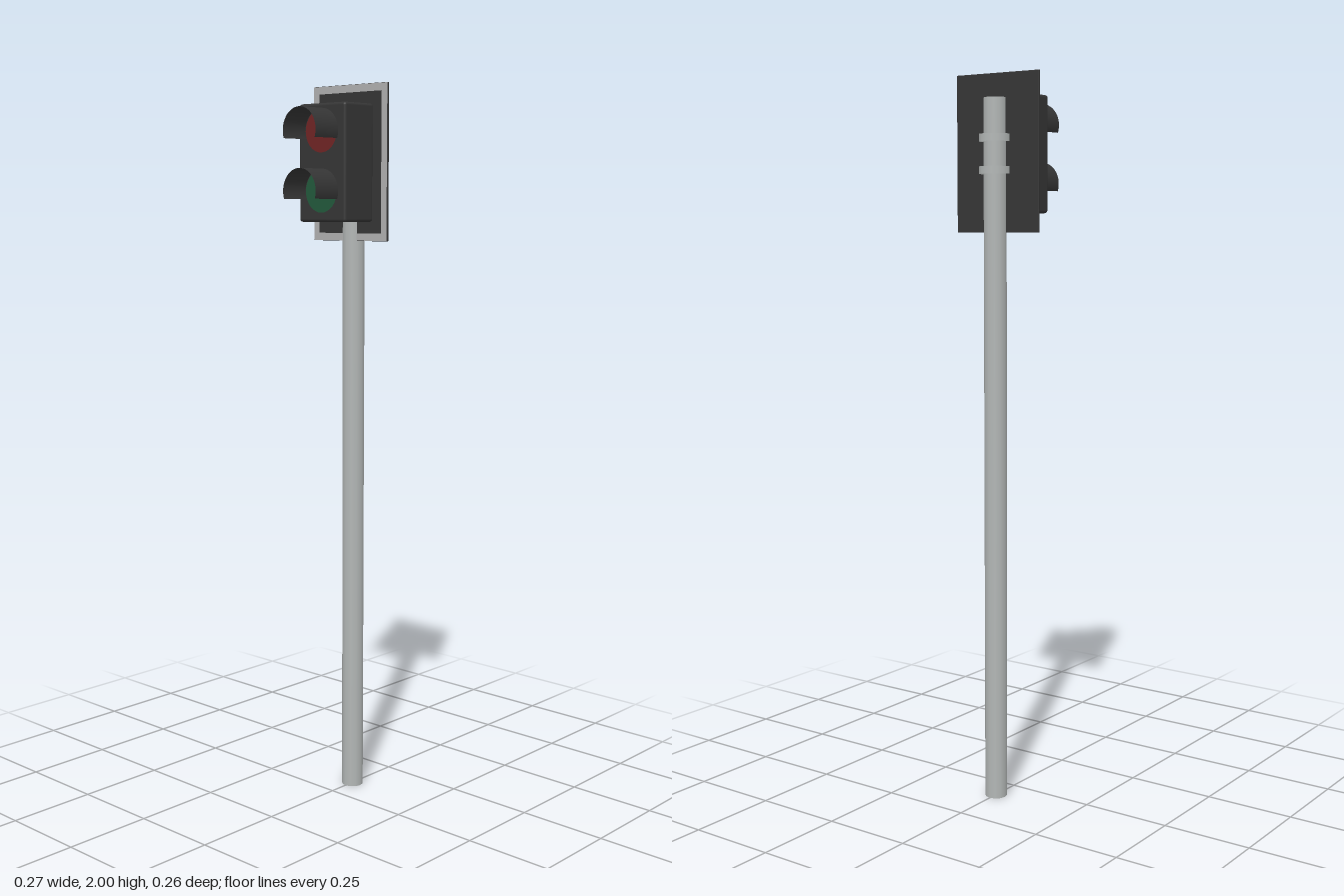
import * as THREE from 'three';
import { RoundedBoxGeometry } from 'three/addons/geometries/RoundedBoxGeometry.js';

const material = (name, color, side = THREE.FrontSide) => {
  const m = new THREE.MeshStandardMaterial({ color, side });
  m.name = name;
  return m;
};

export function createModel() {
  const group = new THREE.Group();
  const metal = material('galvanised grey', 0xb2b6b5, THREE.DoubleSide);
  const dark = material('housing black', 0x353535, THREE.DoubleSide);
  const border = material('border grey', 0xb0b0b0);
  const red = material('red lens', 0x702424);
  const green = material('green lens', 0x22593b);

  const add = (name, geometry, mat, x, y, z) => {
    const mesh = new THREE.Mesh(geometry, mat);
    mesh.name = name;
    mesh.position.set(x, y, z);
    group.add(mesh);
    return mesh;
  };
  const rectangle = (Type, w, h) => new Type([
    new THREE.Vector2(-w, -h), new THREE.Vector2(w, -h),
    new THREE.Vector2(w, h), new THREE.Vector2(-w, h),
  ]);

  // Pole and the two open bands clamping it
  const poleZ = -0.086;
  add('pole', new THREE.CylinderGeometry(0.031, 0.031, 1.935, 12), metal, 0, 0.9675, poleZ);
  for (const y of [1.745, 1.83]) {
    add('clampBand', new THREE.CylinderGeometry(0.043, 0.043, 0.02, 16, 1, true), metal, 0, y, poleZ);
  }

  // Backing board with a pale border on its front
  add('backBoard', new RoundedBoxGeometry(0.27, 0.42, 0.007, 2, 0.002), dark, 0, 1.79, -0.0735);
  const frame = rectangle(THREE.Shape, 0.134, 0.209);
  frame.holes.push(rectangle(THREE.Path, 0.114, 0.189));
  add('boardBorder', new THREE.ShapeGeometry(frame), border, 0, 1.79, -0.0693);

  // Signal housing
  add('housing', new RoundedBoxGeometry(0.17, 0.314, 0.114, 3, 0.008), dark, 0, 1.789, -0.014);

  // Lenses, each under a visor open at the bottom
  const arc = THREE.MathUtils.degToRad(220);
  for (const [name, y, mat] of [['redLens', 1.873, red], ['greenLens', 1.714, green]]) {
    add(name, new THREE.CircleGeometry(0.057, 32), mat, 0, y, 0.045);
    const visor = new THREE.CylinderGeometry(0.06, 0.06, 0.089, 32, 1, true, Math.PI - arc / 2, arc);
    visor.rotateX(Math.PI / 2);
    add('visor', visor, dark, 0, y, 0.0855);
  }
  return group;
}
